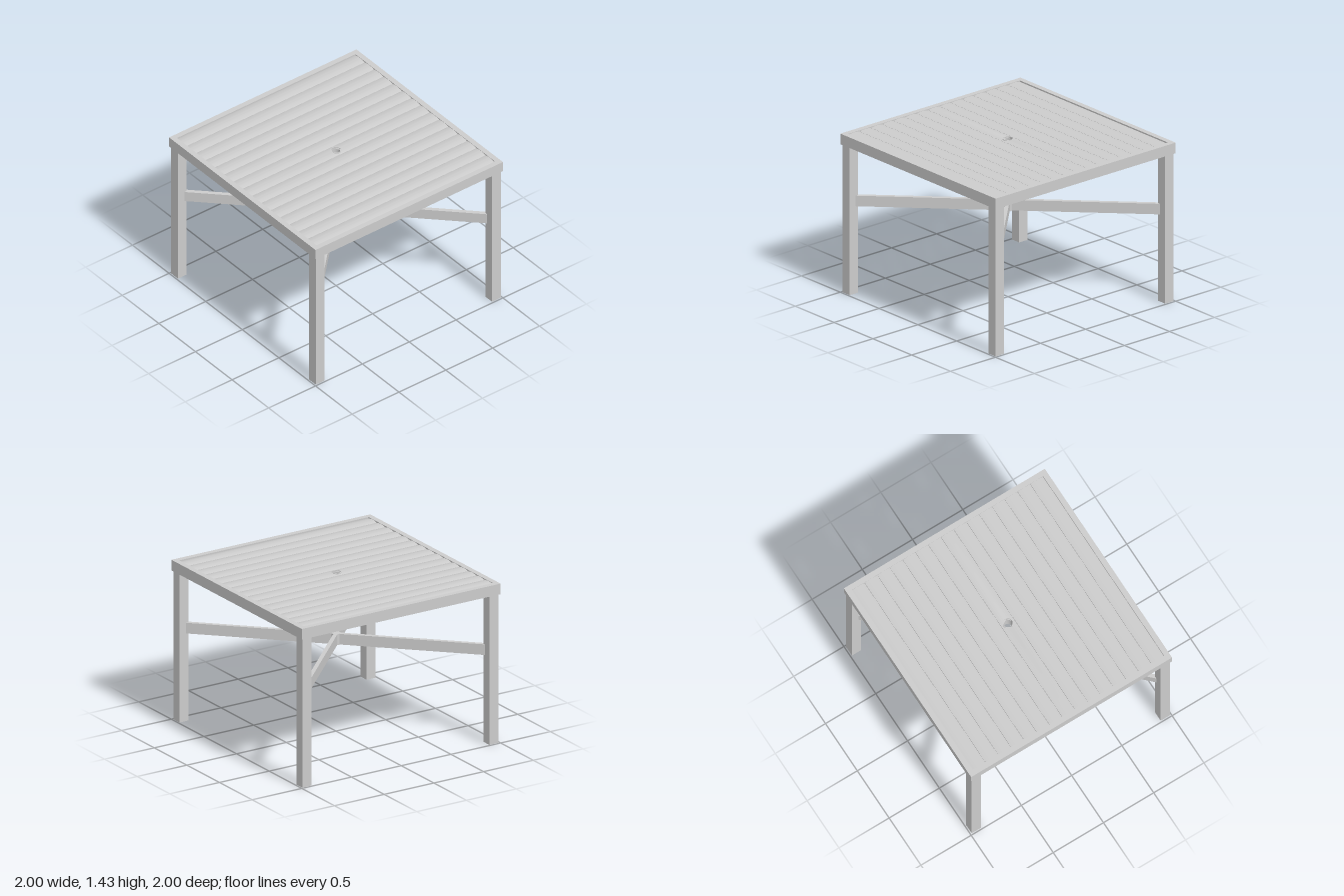
import * as THREE from 'three';
import { toCreasedNormals } from 'three/addons/utils/BufferGeometryUtils.js';

const grey = new THREE.MeshStandardMaterial({ color: 0xcccccc });
grey.name = 'light grey metal';

const TOP = 1.43, UNDER = 1.335, INNER = 0.952, HOLE = 0.046;

// Square ring in plan, standing upright from y0 to y1
function squareTube(outer, inner, y0, y1) {
  const square = (C, h) => {
    const p = new C();
    p.moveTo(-h, -h); p.lineTo(h, -h); p.lineTo(h, h); p.lineTo(-h, h); p.closePath();
    return p;
  };
  const shape = square(THREE.Shape, outer);
  shape.holes.push(square(THREE.Path, inner));
  const geo = new THREE.ExtrudeGeometry(shape, { depth: y1 - y0, bevelEnabled: false });
  return geo.rotateX(-Math.PI / 2).translate(0, y0, 0);
}

// Arched slat profile extruded along +x, starting at x = 0
function slatGeometry(width, length) {
  const n = 16, rise = 0.009, thick = 0.014, crown = 1.427;
  const arch = (i, drop) => {
    const t = (i / n) * 2 - 1;
    return new THREE.Vector2(t * width / 2, crown - drop - rise * t * t);
  };
  const pts = [];
  for (let i = 0; i <= n; i++) pts.push(arch(i, thick));
  for (let i = n; i >= 0; i--) pts.push(arch(i, 0));
  const geo = new THREE.ExtrudeGeometry(new THREE.Shape(pts), { depth: length, bevelEnabled: false });
  return geo.rotateY(Math.PI / 2);
}

export function createModel() {
  const model = new THREE.Group();
  model.name = 'patioTable';
  const add = (name, geo, x = 0, y = 0, z = 0, ry = 0) => {
    const mesh = new THREE.Mesh(geo, grey);
    mesh.name = name;
    mesh.position.set(x, y, z);
    mesh.rotation.y = ry;
    model.add(mesh);
    return mesh;
  };

  // Frame around the tabletop
  add('tabletopFrame', squareTube(1, INNER, UNDER, TOP));

  // Fifteen arched slats; the middle one is two halves cut around the hole
  const count = 15, pitch = (INNER * 2) / count, width = pitch - 0.002;
  const slat = toCreasedNormals(slatGeometry(width, INNER * 2), 0.5);
  const half = slatGeometry(width, INNER);
  const pos = half.attributes.position;
  for (let i = 0; i < pos.count; i++) {
    if (pos.getX(i) < 0.01) {
      pos.setX(i, Math.sqrt(Math.max(0, HOLE * HOLE - pos.getZ(i) ** 2)));
    }
  }
  const halfSlat = toCreasedNormals(half, 0.5);
  for (let i = 0; i < count; i++) {
    const z = (i - (count - 1) / 2) * pitch;
    if (i === (count - 1) / 2) {
      add('middleSlatLeft', halfSlat, 0, 0, z);
      add('middleSlatRight', halfSlat, 0, 0, z, Math.PI);
    } else {
      add('slat', slat, -INNER, 0, z);
    }
  }

  // Support bars beneath the slats
  for (const s of [-1, 1]) {
    add('slatSupport', new THREE.BoxGeometry(0.06, 0.028, INNER * 2), s * 0.37, 1.394, 0);
    add('centreSupport', new THREE.BoxGeometry(0.31, 0.028, 0.04), s * 0.197, 1.394, 0);
  }

  // Hollow sleeve through the middle hole
  const sleeve = [[0.04, 1.3], [0.046, 1.3], [0.046, 1.428], [0.04, 1.428], [0.04, 1.3]]
    .map(([r, y]) => new THREE.Vector2(r, y));
  add('umbrellaSleeve', toCreasedNormals(new THREE.LatheGeometry(sleeve, 32), 0.6));

  // Hollow square legs
  const leg = squareTube(0.046, 0.042, 0, 1.4);
  for (const x of [-1, 1]) {
    for (const z of [-1, 1]) add('leg', leg, x * 0.941, 0, z * 0.941);
  }

  // Diagonal cross braces and the hub where they meet
  const brace = new THREE.BoxGeometry(2.58, 0.095, 0.035);
  for (const s of [-1, 1]) add('crossBrace', brace, 0, 0.833, 0, s * Math.PI / 4);
  add('braceHub', new THREE.CylinderGeometry(0.039, 0.039, 0.097, 24), 0, 0.833, 0);

  return model;
}
